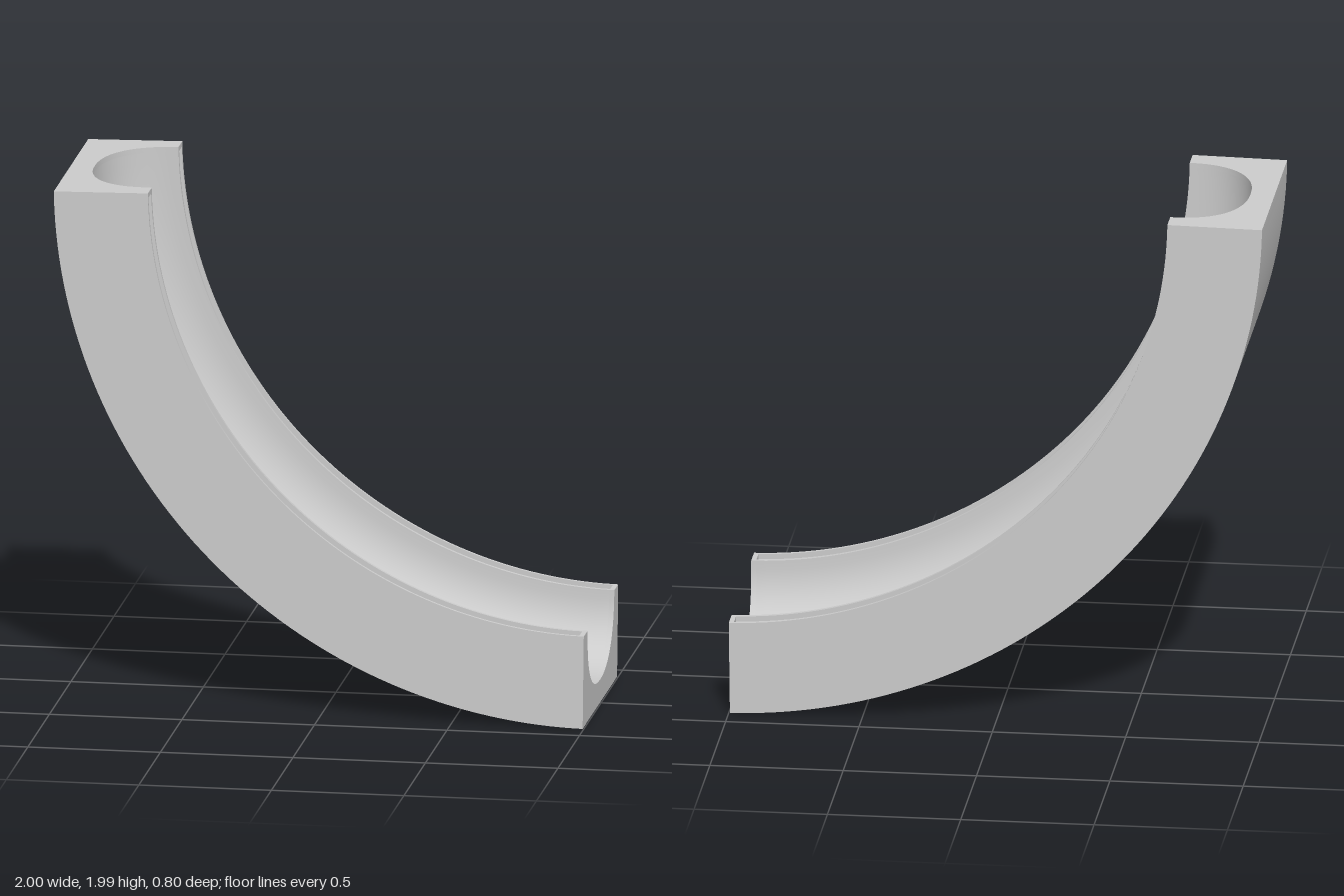
import * as THREE from 'three';
import { toCreasedNormals } from 'three/addons/utils/BufferGeometryUtils.js';

const R = 2.02;              // outer radius of the bend
const H = 0.355;             // radial height of the block
const CX = 1.02, CY = 2.02;  // centre of the bend
const START = 0.0175, END = Math.PI / 2 - 0.012;
const INSET = 0.011;         // angle of solid rim closing each end of the grooves
const HALF = 0.4, BORE = 0.31, FLOOR = 0.09;

// Cross-section: block with a rounded channel, optionally a groove in each rim
function crossSection(grooved) {
  const g0 = 0.325, g1 = 0.387, depth = 0.02;
  const rim = (s) => {
    const pts = [[HALF, H]];
    if (grooved) pts.push([g1, H], [g1, H - depth], [g0, H - depth], [g0, H]);
    return pts.map(([z, y]) => new THREE.Vector2(s * z, y));
  };
  const pts = [new THREE.Vector2(-HALF, 0), new THREE.Vector2(HALF, 0), ...rim(1)];
  // Channel: an oval slightly flattened at its floor
  const power = 2 / 2.35;
  for (let i = 0; i <= 32; i++) {
    const a = (i / 32) * Math.PI, c = Math.cos(a);
    const drop = i % 32 === 0 ? 0 : Math.sin(a) ** power;
    pts.push(new THREE.Vector2(
      BORE * Math.sign(c) * Math.abs(c) ** power,
      H - (H - FLOOR) * drop,
    ));
  }
  pts.push(...rim(-1).reverse());
  return new THREE.Shape(pts);
}

// Extrude a section straight, then bend it about the centre between two angles
function bentSection(name, grooved, from, to, steps, material) {
  const geo = new THREE.ExtrudeGeometry(crossSection(grooved), {
    depth: 1, steps, bevelEnabled: false,
  });
  const p = geo.attributes.position;
  for (let i = 0; i < p.count; i++) {
    const z = p.getX(i), r = R - p.getY(i);
    const a = to + (from - to) * p.getZ(i);
    p.setXYZ(i, CX - r * Math.cos(a), CY - r * Math.sin(a), z);
  }
  const mesh = new THREE.Mesh(toCreasedNormals(geo, 0.5), material);
  mesh.name = name;
  return mesh;
}

export function createModel() {
  const group = new THREE.Group();
  group.name = 'curvedChannel';
  const grey = new THREE.MeshStandardMaterial({ color: 0xcccccc });
  group.add(
    bentSection('upperEnd', false, START, START + INSET, 1, grey),
    bentSection('groovedBend', true, START + INSET, END - INSET, 64, grey),
    bentSection('lowerEnd', false, END - INSET, END, 1, grey),
  );
  return group;
}
